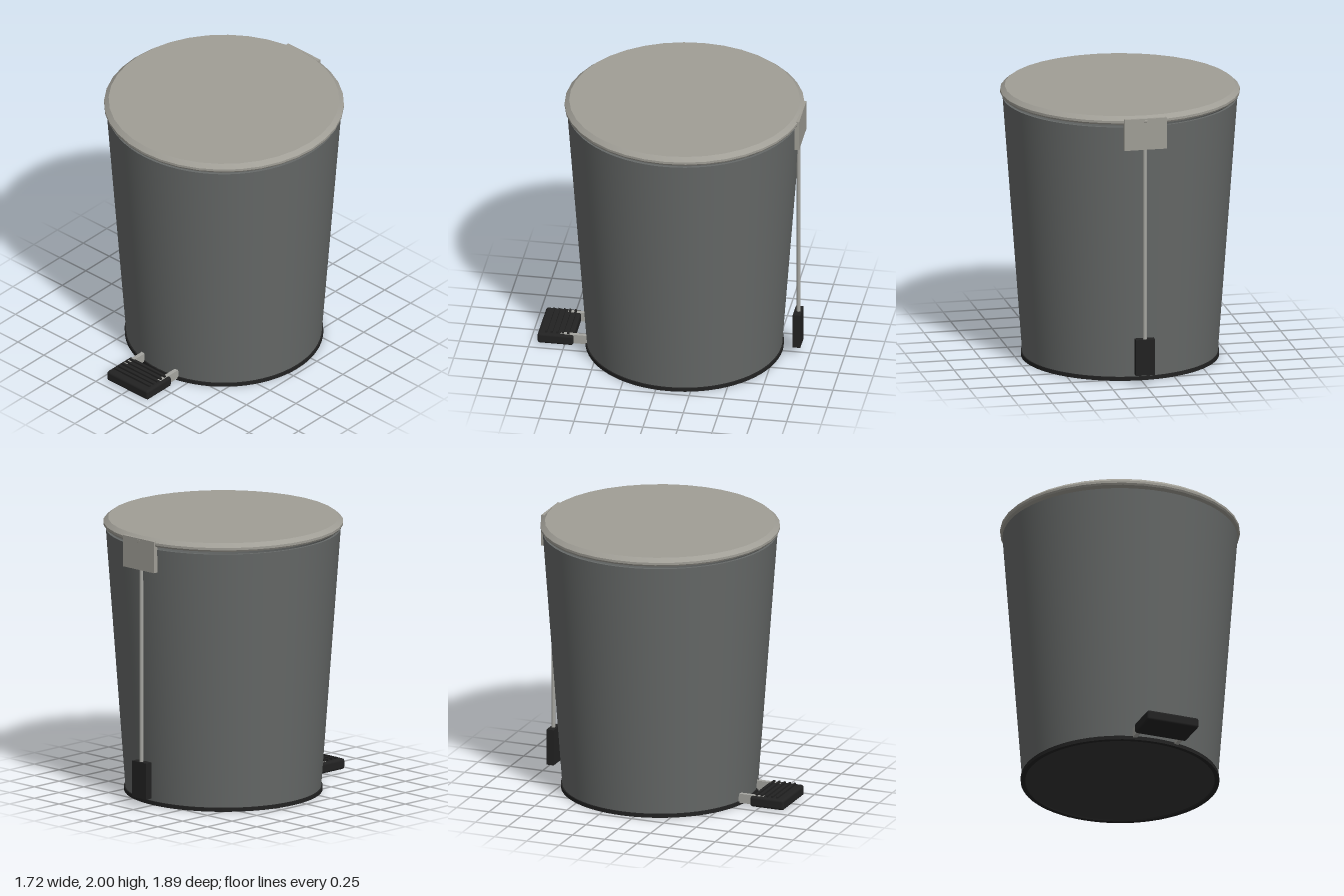
import * as THREE from 'three';
import { toCreasedNormals } from 'three/addons/utils/BufferGeometryUtils.js';
import { RoundedBoxGeometry } from 'three/addons/geometries/RoundedBoxGeometry.js';

const BIN_Z = -0.09; // axis of the bucket

const paint = (color) => new THREE.MeshStandardMaterial({ color });

export function createModel() {
  const root = new THREE.Group();
  const bodyGrey = paint(0x666968);
  const lidGrey = paint(0xa09e96);
  const steel = paint(0xa5a5a0);
  const black = paint(0x222222);
  const darkGrey = paint(0x333333);

  function add(name, geometry, material, x, y, z, parent = root) {
    const mesh = new THREE.Mesh(geometry, material);
    mesh.name = name;
    mesh.position.set(x, y, z);
    parent.add(mesh);
    return mesh;
  }
  const box = (w, h, d) => new THREE.BoxGeometry(w, h, d);
  const turned = (profile, segments) => toCreasedNormals(
    new THREE.LatheGeometry(profile.map(([r, y]) => new THREE.Vector2(r, y)), segments), 0.4);

  // Tapered hollow bucket with a thin wall and a floor
  add('bucket', turned([
    [0.70, 0.025], [0.84, 1.92], [0.82, 1.92], [0.68, 0.05], [0, 0.05],
  ], 72), bodyGrey, 0, 0, BIN_Z);

  // Foot ring with a recessed underside
  add('baseRing', turned([
    [0.675, 0.012], [0.68, 0], [0.71, 0], [0.71, 0.028], [0.68, 0.028],
  ], 72), black, 0, 0, BIN_Z);
  add('baseDisc', new THREE.CylinderGeometry(0.685, 0.685, 0.02, 72), darkGrey, 0, 0.02, BIN_Z);

  // Chamfered lid resting just above the rim
  add('lid', turned([
    [0, 1.942], [0.85, 1.942], [0.858, 1.955], [0.858, 1.972], [0.825, 2], [0, 2],
  ], 36), lidGrey, 0, 0, BIN_Z);

  // Hinge plate, lifting rod and lower rod block on the back
  const lift = new THREE.Group();
  lift.name = 'liftMechanism';
  root.add(lift);
  add('hingePlate', box(0.31, 0.23, 0.035), lidGrey, 0, 1.868, -0.929, lift);
  add('liftRod', new THREE.CylinderGeometry(0.014, 0.014, 1.46, 16), steel, 0, 1.05, -0.917, lift);
  add('rodBlock', box(0.14, 0.265, 0.055), black, 0, 0.207, -0.913, lift);

  // Foot pedal with grip ribs and two arms running into the base
  const pedal = new THREE.Group();
  pedal.name = 'pedal';
  root.add(pedal);
  add('pedalPad', new RoundedBoxGeometry(0.395, 0.078, 0.26, 3, 0.018), black, 0, 0.046, 0.815, pedal);
  for (let i = 0; i < 5; i++) {
    add('gripRib', box(0.34, 0.018, 0.014), black, 0, 0.09, 0.725 + i * 0.04, pedal);
  }
  for (const side of [-1, 1]) {
    add('pedalArm', box(0.03, 0.068, 0.28), steel, side * 0.16, 0.052, 0.64, pedal);
  }

  return root;
}
